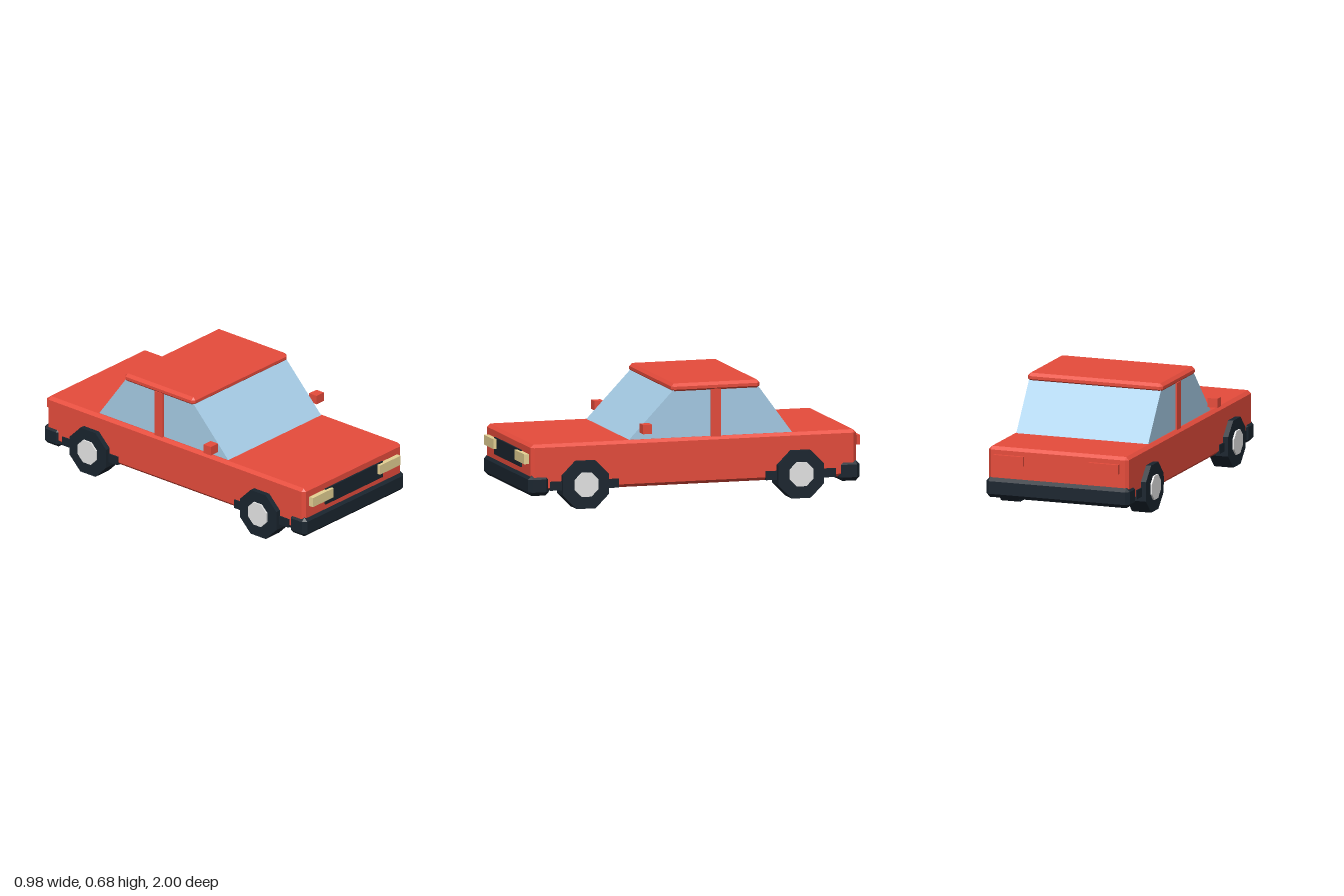
import * as THREE from 'three';
import { ConvexGeometry } from 'three/addons/geometries/ConvexGeometry.js';

const material = (name, color) => {
  const m = new THREE.MeshStandardMaterial({ color });
  m.name = name;
  return m;
};

// Box between two corners
function block(x0, x1, y0, y1, z0, z1) {
  return new THREE.BoxGeometry(x1 - x0, y1 - y0, z1 - z0)
    .translate((x0 + x1) / 2, (y0 + y1) / 2, (z0 + z1) / 2);
}

// Box with chamfered edges, symmetric in x
function chamferBlock(hx, y0, y1, z0, z1, c) {
  const points = [];
  for (const x of [-1, 1])
    for (const [y, sy] of [[y0, -1], [y1, 1]])
      for (const [z, sz] of [[z0, -1], [z1, 1]])
        points.push(
          new THREE.Vector3(x * hx, y - sy * c, z - sz * c),
          new THREE.Vector3(x * (hx - c), y, z - sz * c),
          new THREE.Vector3(x * (hx - c), y - sy * c, z));
  return new ConvexGeometry(points);
}

// Faceted eight-sided disc lying along x, resting on a flat side
function octagon(radius, width) {
  const g = new THREE.CylinderGeometry(radius, radius, width, 8, 1, false, Math.PI / 8)
    .rotateZ(Math.PI / 2).toNonIndexed();
  g.computeVertexNormals();
  return g;
}

export function createModel() {
  const red = material('red paint', 0xe74c3c);
  const dark = material('dark trim', 0x1a252f);
  const glass = material('window glass', 0xaed6f1);
  const cream = material('headlight cream', 0xe6d294);
  const silver = material('hub silver', 0xe6e6e6);

  const car = new THREE.Group();
  car.name = 'car';
  const add = (name, geometry, mat) => {
    const mesh = new THREE.Mesh(geometry, mat);
    mesh.name = name;
    car.add(mesh);
    return mesh;
  };

  // Body, cabin glass and roof
  add('body', chamferBlock(0.426, 0.107, 0.375, -0.965, 0.972, 0.018), red);
  const cabin = [];
  for (const x of [-0.402, 0.402])
    for (const [y, z] of [[0.36, 0.397], [0.36, -0.598], [0.65, 0.118], [0.65, -0.385]])
      cabin.push(new THREE.Vector3(x, y, z));
  add('cabinGlass', new ConvexGeometry(cabin), glass);
  add('roof', chamferBlock(0.412, 0.634, 0.685, -0.397, 0.13, 0.017), red);
  add('doorPillars', block(-0.412, 0.412, 0.37, 0.645, -0.162, -0.102), red);

  // Bumpers
  add('frontBumper', chamferBlock(0.437, 0.081, 0.198, 0.863, 0.988, 0.022), dark);
  add('rearBumper', chamferBlock(0.437, 0.081, 0.198, -0.985, -0.86, 0.022), dark);

  // Grille
  add('grille', block(-0.248, 0.248, 0.225, 0.322, 0.95, 0.982), dark);

  // Wheel arch trim across both axles
  add('frontArchTrim', block(-0.434, 0.434, 0.109, 0.16, 0.453, 0.862), dark);
  add('rearArchTrim', block(-0.434, 0.434, 0.109, 0.16, -0.84, -0.422), dark);

  for (const [side, s] of [['left', 1], ['right', -1]]) {
    const span = (a, b) => (s > 0 ? [a, b] : [-b, -a]);

    // Lights and mirrors
    add(side + 'Headlight', block(...span(0.2, 0.38), 0.26, 0.317, 0.96, 1.0), cream);
    add(side + 'TailLight', block(...span(0.2, 0.38), 0.28, 0.335, -1.0, -0.98), red);
    add(side + 'Mirror', block(...span(0.426, 0.489), 0.417, 0.47, 0.272, 0.327), red);

    // Wheels with hubs
    for (const [end, z] of [['Front', 0.655], ['Rear', -0.625]]) {
      add(side + end + 'Wheel', octagon(0.148, 0.116), dark).position.set(s * 0.399, 0.137, z);
      add(side + end + 'Hub', octagon(0.075, 0.03), silver).position.set(s * 0.452, 0.139, z);
    }
  }
  return car;
}
